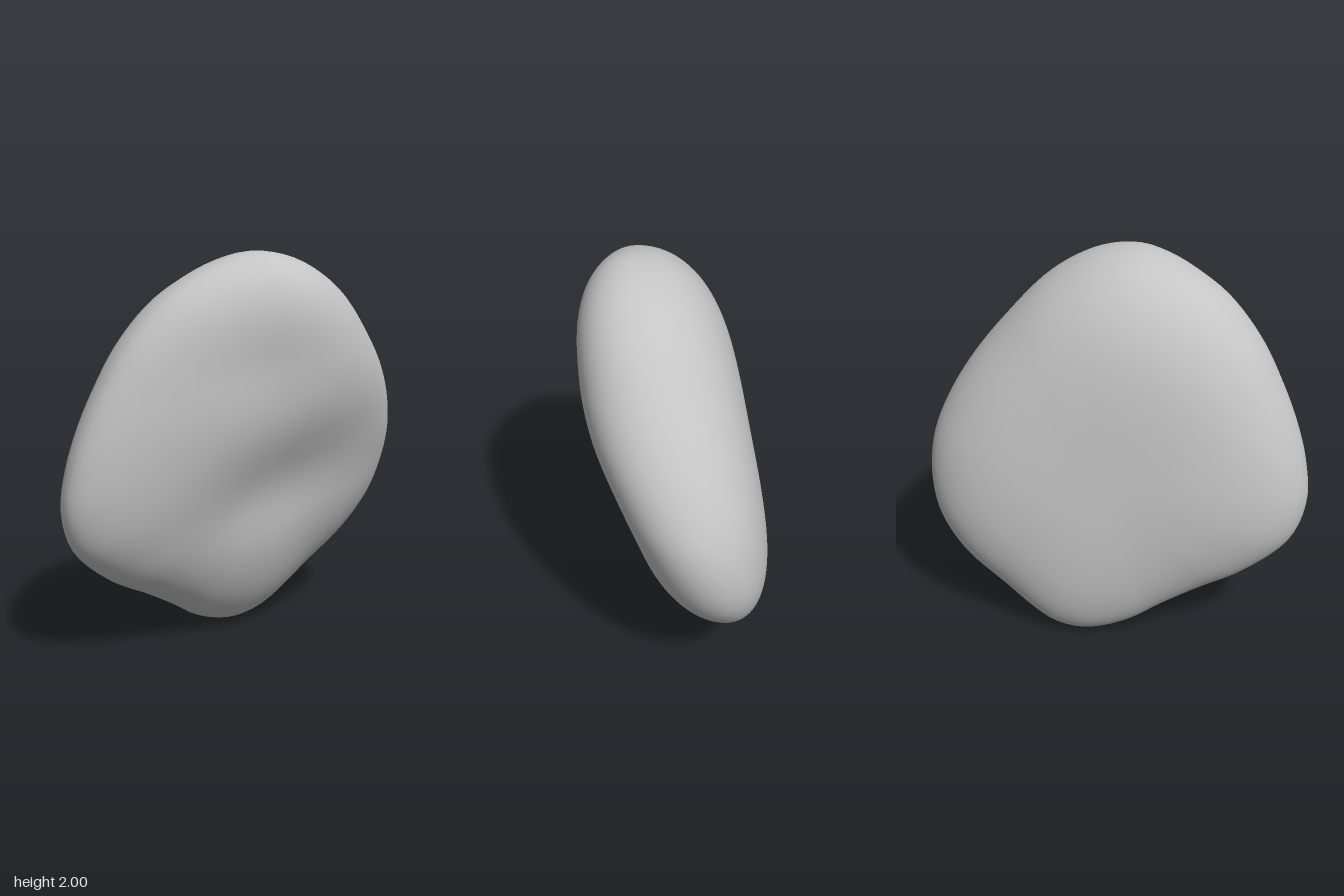
import * as THREE from 'three';
import { mergeVertices } from 'three/addons/utils/BufferGeometryUtils.js';

// Rim of the stone in its own plane (across, height about the middle), counterclockwise from the top
const RIM = [
  [-0.08, 1.0], [-0.23, 0.97], [-0.38, 0.905], [-0.56, 0.79], [-0.73, 0.6], [-0.845, 0.4],
  [-0.935, 0.2], [-0.995, 0.0], [-1.015, -0.2], [-0.95, -0.4], [-0.74, -0.59], [-0.5, -0.72],
  [-0.31, -0.83], [-0.16, -0.925], [0.0, -0.985], [0.12, -1.0], [0.26, -0.97], [0.39, -0.89],
  [0.52, -0.79], [0.77, -0.6], [0.915, -0.4], [0.965, -0.2], [0.955, 0.0], [0.88, 0.2],
  [0.76, 0.4], [0.6, 0.6], [0.41, 0.8], [0.26, 0.905], [0.1, 0.975],
];

const { smoothstep } = THREE.MathUtils;
const bump = (u, v, cu, cv, su, sv) => Math.exp(-(((u - cu) / su) ** 2) - ((v - cv) / sv) ** 2);

// Middle sheet: leans forward at the top with a slight twist
const lean = (u, v) => 0.035 + 0.22 * v + 0.09 * u * v;

// Bulge of the front: fuller on the upper right, with a shallow dent above and a slanting hollow below
const frontDepth = (u, v) =>
  0.31 + 0.065 * u
  + 0.1 * smoothstep(v - 0.2 * u, -0.35, 0.45) * smoothstep(u, -0.9, 0.2)
  - 0.04 * bump(u, v, -0.15, 0.46, 0.45, 0.25)
  - 0.045 * bump(u, v - 0.25 * u, 0.05, -0.17, 0.45, 0.25);

// Bulge of the back: gentle and even, thinner at the foot
const backDepth = (u, v) => 0.36 + 0.04 * u + 0.1 * v;

function stoneGeometry() {
  const curve = new THREE.CatmullRomCurve3(RIM.map(([u, v]) => new THREE.Vector3(u, v, 0)), true);
  const geo = new THREE.SphereGeometry(1, 120, 64);
  const pos = geo.attributes.position;
  for (let i = 0; i < pos.count; i++) {
    const a = Math.atan2(-pos.getZ(i), pos.getX(i));
    const rho = Math.min(1, Math.hypot(pos.getX(i), pos.getZ(i)));
    const t = (((a / (2 * Math.PI) - 0.25) % 1) + 1) % 1;
    const rim = curve.getPointAt(t > 0.99999 ? 0 : t);
    const u = rim.x * rho, v = rim.y * rho;
    // Rounded section either side of the middle sheet
    const round = Math.sqrt(Math.max(0, 1 - rho ** 3.3));
    const depth = pos.getY(i) > 0 ? frontDepth(u, v) : -backDepth(u, v);
    const n = lean(u, v) + depth * round;
    // The stone stands diagonally
    pos.setXYZ(i, (u + n) * Math.SQRT1_2, v + 1, (n - u) * Math.SQRT1_2);
  }
  geo.deleteAttribute('uv');
  geo.deleteAttribute('normal');
  const merged = mergeVertices(geo, 1e-5);
  merged.computeVertexNormals();
  return merged;
}

export function createModel() {
  const group = new THREE.Group();
  group.name = 'pebble';
  const grey = new THREE.MeshStandardMaterial({ color: 0xc4c4c4 });
  grey.name = 'stone grey';
  const stone = new THREE.Mesh(stoneGeometry(), grey);
  stone.name = 'stone';
  group.add(stone);
  return group;
}
